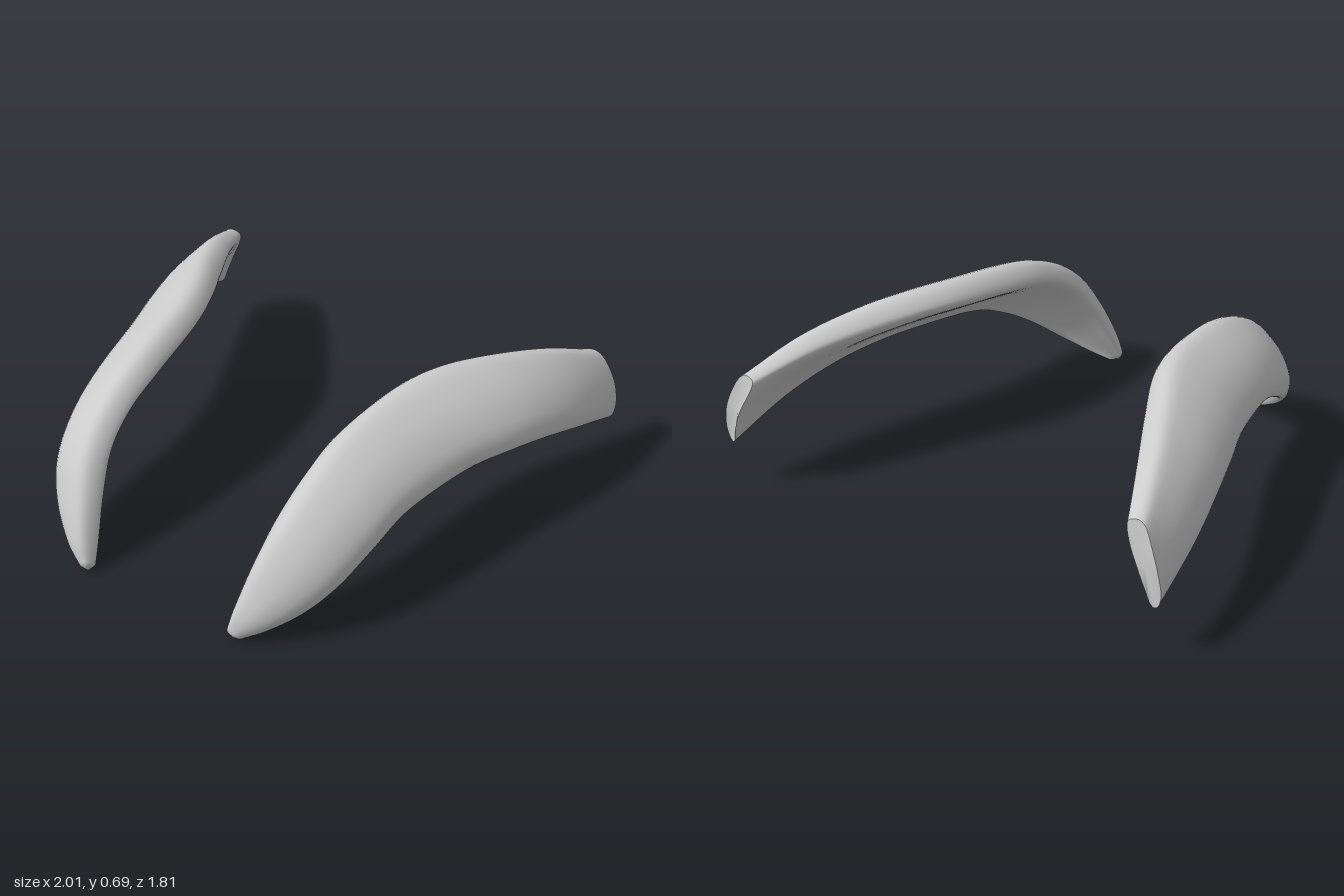
import * as THREE from 'three';

// Stations from the front tip to the cut rear end:
// inner upper edge (x, y, z), outer lower edge (x, y, z), thickness
const STATIONS = [
  [0.312, 0.035, 0.875, 0.37, 0.002, 0.865, 0.035],
  [0.325, 0.13, 0.835, 0.46, 0.052, 0.81, 0.065],
  [0.357, 0.30, 0.75, 0.56, 0.128, 0.73, 0.085],
  [0.385, 0.44, 0.65, 0.635, 0.215, 0.63, 0.095],
  [0.40, 0.535, 0.50, 0.685, 0.308, 0.48, 0.098],
  [0.41, 0.595, 0.30, 0.72, 0.378, 0.30, 0.10],
  [0.455, 0.63, 0.00, 0.79, 0.402, 0.00, 0.10],
  [0.52, 0.637, -0.20, 0.855, 0.39, -0.20, 0.10],
  [0.62, 0.62, -0.40, 0.91, 0.357, -0.40, 0.098],
  [0.74, 0.58, -0.63, 0.955, 0.293, -0.63, 0.085],
  [0.86, 0.50, -0.872, 0.978, 0.20, -0.89, 0.062],
];

// Cross-section: fraction from inner to outer edge, height in thicknesses
const SECTION = [
  [0, 0], [0.02, 0.65], [0.15, 1.03], [0.5, 1.12], [0.8, 0.85], [0.96, 0.4],
  [1, 0], [0.93, -0.15], [0.75, -0.08], [0.5, -0.08], [0.25, -0.2], [0.07, -0.22],
];

const RINGS = 60;
const SIDES = 40;

function makeRings() {
  const v = (a, o) => new THREE.Vector3(a[o], a[o + 1], a[o + 2]);
  const edge = (o) => new THREE.CatmullRomCurve3(STATIONS.map((s) => v(s, o)), false, 'catmullrom');
  const inner = edge(0);
  const outer = edge(3);
  const depth = new THREE.CatmullRomCurve3(STATIONS.map((s) => new THREE.Vector3(s[6], 0, 0)), false, 'catmullrom');
  const outline = new THREE.CatmullRomCurve3(
    SECTION.map(([u, n]) => new THREE.Vector3(u, n, 0)), true, 'catmullrom');
  const rings = [];
  for (let i = 0; i <= RINGS; i++) {
    const t = i / RINGS;
    const a = inner.getPoint(t);
    const across = outer.getPoint(t).sub(a);
    const along = inner.getTangent(t).add(outer.getTangent(t));
    const normal = across.clone().cross(along).normalize();
    const h = depth.getPoint(t).x;
    const ring = [];
    for (let j = 0; j < SIDES; j++) {
      const p = outline.getPoint(j / SIDES);
      const q = a.clone().addScaledVector(across, p.x).addScaledVector(normal, p.y * h);
      // the rear end bulges slightly backward in its middle
      q.z -= 0.024 * t ** 20 * Math.sin(Math.PI * THREE.MathUtils.clamp(p.x, 0, 1));
      ring.push(q);
    }
    rings.push(ring);
  }
  return rings;
}

const centreOf = (ring) =>
  ring.reduce((c, p) => c.add(p), new THREE.Vector3()).divideScalar(ring.length);

// Indexed geometry; side -1 mirrors it and turns the faces back outward
function makeGeometry(points, faces, side) {
  const geometry = new THREE.BufferGeometry().setFromPoints(
    points.map((p) => new THREE.Vector3(p.x * side, p.y, p.z)));
  geometry.setIndex(faces.flatMap(([a, b, c]) => (side > 0 ? [a, b, c] : [a, c, b])));
  geometry.computeVertexNormals();
  return geometry;
}

export function createModel() {
  const model = new THREE.Group();
  model.name = 'curvedPair';
  const grey = new THREE.MeshStandardMaterial({ color: 0xcccccc });
  grey.name = 'light grey';

  const rings = makeRings();

  // Smooth body skin, closed with a rounded tip
  const bodyPoints = rings.flat();
  const bodyFaces = [];
  for (let i = 0; i < RINGS; i++) {
    for (let j = 0; j < SIDES; j++) {
      const a = i * SIDES + j;
      const b = i * SIDES + ((j + 1) % SIDES);
      bodyFaces.push([a, b, a + SIDES], [b, b + SIDES, a + SIDES]);
    }
  }
  const tip = bodyPoints.length;
  bodyPoints.push(centreOf(rings[0]).add(new THREE.Vector3(-0.006, -0.018, 0.006)));

  // Cut face at the rear
  const last = rings[RINGS];
  const capPoints = [...last, centreOf(last)];
  const capFaces = [];
  for (let j = 0; j < SIDES; j++) {
    const k = (j + 1) % SIDES;
    bodyFaces.push([tip, k, j]);
    capFaces.push([SIDES, j, k]);
  }

  for (const side of [1, -1]) {
    const blade = new THREE.Group();
    blade.name = side > 0 ? 'leftBlade' : 'rightBlade';
    const body = new THREE.Mesh(makeGeometry(bodyPoints, bodyFaces, side), grey);
    body.name = 'curvedBody';
    const cap = new THREE.Mesh(makeGeometry(capPoints, capFaces, side), grey);
    cap.name = 'rearCut';
    blade.add(body, cap);
    model.add(blade);
  }
  return model;
}
